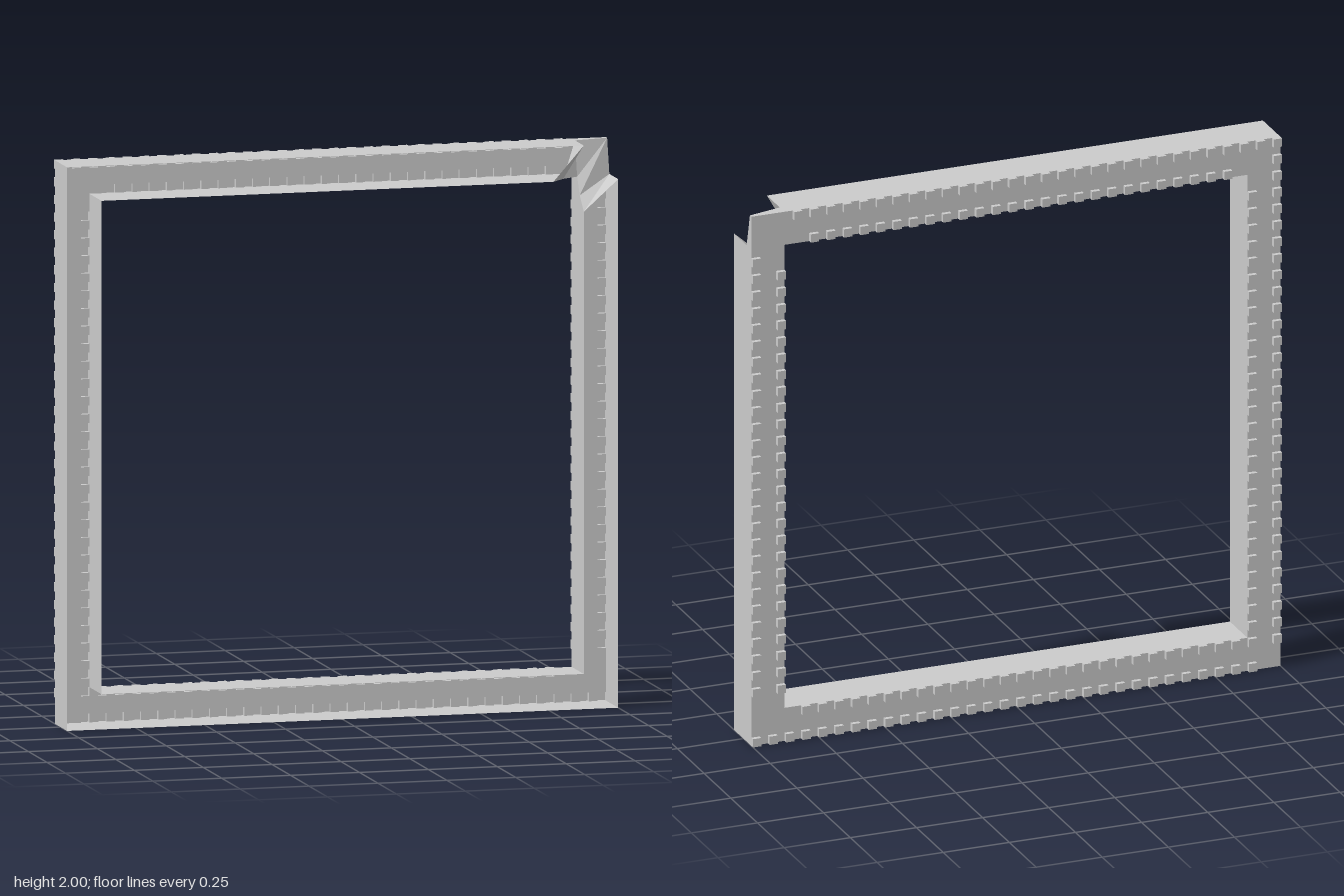
import * as THREE from 'three';
import { mergeGeometries } from 'three/addons/utils/BufferGeometryUtils.js';

const FRONT = 0.09, PLATE = -0.074, BACK = -0.09; // depth levels
const N = 64, CELL = 2 / N, RAIL = 4;             // square grid, rail is 4 cells wide

const material = new THREE.MeshStandardMaterial({
  color: 0xcccccc, flatShading: true, side: THREE.DoubleSide,
});

// Flat-shaded sheet between two matching rows of points
function loft(a, b) {
  const pos = [];
  for (let i = 0; i < a.length - 1; i++) {
    pos.push(...a[i], ...b[i], ...b[i + 1], ...a[i], ...b[i + 1], ...a[i + 1]);
  }
  const g = new THREE.BufferGeometry();
  g.setAttribute('position', new THREE.Float32BufferAttribute(pos, 3));
  g.computeVertexNormals();
  return g;
}

export function createModel() {
  const group = new THREE.Group();
  const add = (geometry, name) => {
    const mesh = new THREE.Mesh(geometry, material);
    mesh.name = name;
    group.add(mesh);
  };

  // Scooped corner: rim heights along the inner and the outer wall
  const innerScoop = [
    [0.765, 1.876, FRONT], [0.815, 1.876, 0.035], [0.875, 1.876, 0],
    [0.875, 1.815, 0.035], [0.875, 1.765, FRONT],
  ];
  const outerScoop = [
    [0.875, 2, FRONT], [0.875, 2, -0.03], [1, 2, -0.06],
    [1, 1.876, -0.03], [1, 1.876, FRONT],
  ];
  add(loft(outerScoop, innerScoop), 'cornerScoop');

  // Thin walls running round the open channel
  const wall = (scoop, lo, bottom, hi, top) => {
    const rim = [
      ...scoop, [hi, bottom, FRONT], [lo, bottom, FRONT], [lo, top, FRONT], scoop[0],
    ];
    return loft(rim, rim.map(([x, y]) => [x, y, PLATE]));
  };
  add(wall(outerScoop, -1, 0, 1, 2), 'outerWall');
  add(wall(innerScoop, -0.875, 0.125, 0.875, 1.876), 'innerWall');

  // Two rows of teeth per rail, on every second grid cell
  const teeth = new Set();
  const row = (from, to, cell) => {
    for (let k = from; k <= to; k += 2) teeth.add(cell(k).join());
  };
  row(0, 58, k => [k, 63]);   // top
  row(6, 56, k => [k, 60]);
  row(3, 63, k => [k, 0]);    // bottom
  row(3, 57, k => [k, 3]);
  row(3, 61, k => [0, k]);    // right rail
  row(3, 57, k => [3, k]);
  row(6, 58, k => [63, k]);   // left rail
  row(6, 56, k => [60, k]);

  // Back plate cells, left open where a hollow tooth stands behind them
  const plateCells = [], toothCells = [];
  const inRail = i => i < RAIL || i >= N - RAIL;
  for (let i = 0; i < N; i++) {
    for (let j = 0; j < N; j++) {
      if (!inRail(i) && !inRail(j)) continue;
      const x = (i + 0.5) * CELL - 1, y = (j + 0.5) * CELL;
      if (teeth.has(`${i},${j}`)) {
        const box = new THREE.BoxGeometry(CELL, CELL, PLATE - BACK);
        const index = [...box.index.array];
        index.splice(24, 6); // open towards the front
        box.setIndex(index);
        toothCells.push(box.translate(x, y, (PLATE + BACK) / 2));
      } else {
        plateCells.push(new THREE.PlaneGeometry(CELL, CELL).translate(x, y, PLATE));
      }
    }
  }
  add(mergeGeometries(plateCells), 'backPlate');
  add(mergeGeometries(toothCells), 'backTeeth');
  return group;
}
